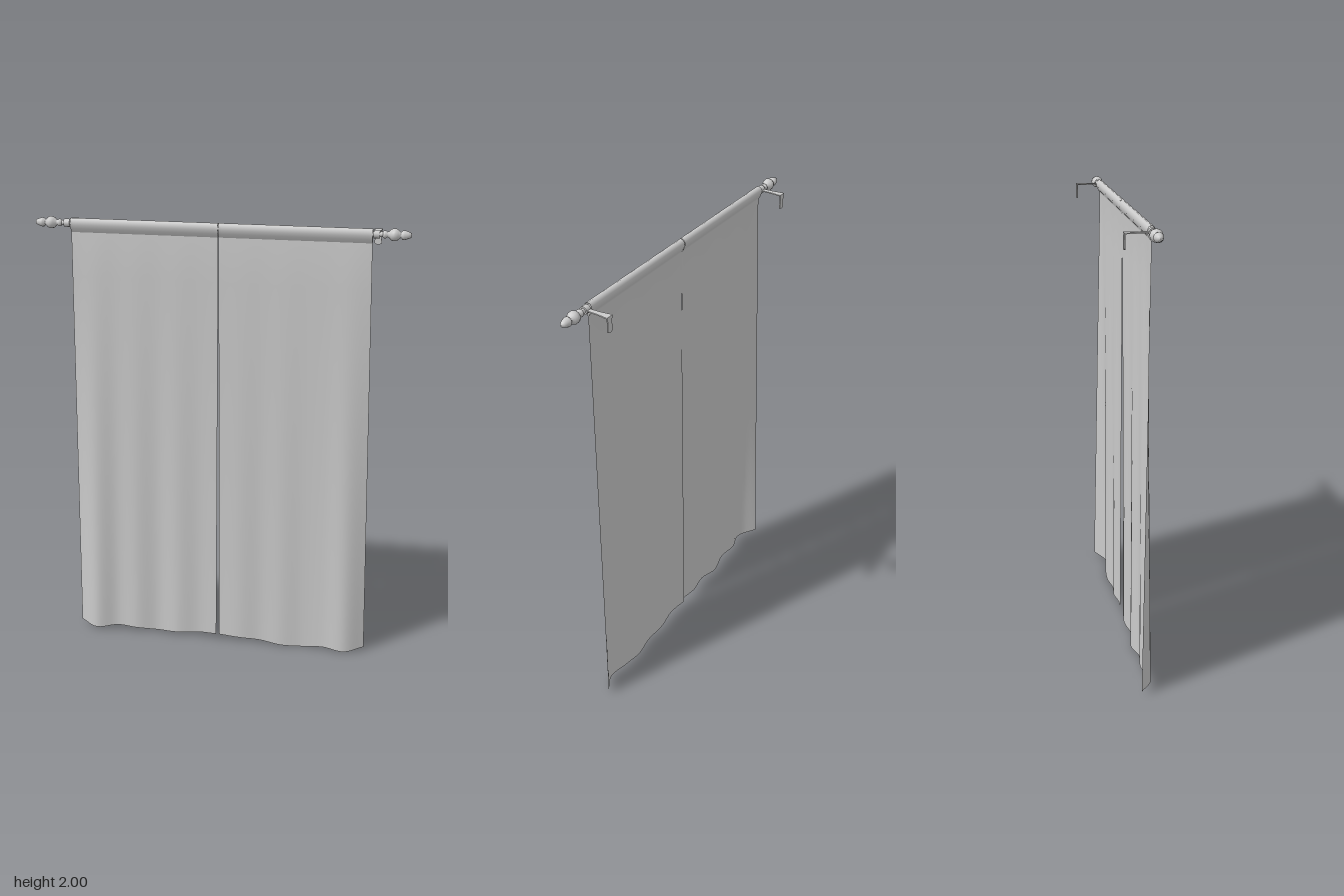
import * as THREE from 'three';

const ROD_Y = 1.974, ROD_Z = 0.04;
const metal = new THREE.MeshStandardMaterial({ color: 0xcccccc });
const cloth = new THREE.MeshStandardMaterial({ color: 0xcccccc, side: THREE.DoubleSide });

function mesh(name, geometry, material = metal) {
  const m = new THREE.Mesh(geometry, material);
  m.name = name;
  return m;
}

// Cloth panel: rod sleeve at the top, folds that deepen toward the hem.
// Each hem entry is [x, y, z].
function curtainPanel(name, hem, topA, topB) {
  const curve = new THREE.CatmullRomCurve3(hem.map(p => new THREE.Vector3(...p)));
  const sleeve = [[1.935, 0], [1.952, 0.01], [1.968, 0.016], [1.982, 0.016], [1.992, 0.01], [1.996, 0],
    [1.992, -0.01], [1.982, -0.016], [1.968, -0.016], [1.952, -0.01], [1.935, 0]];
  const cols = 42, drop = 10, rows = sleeve.length - 1 + drop;
  const geo = new THREE.PlaneGeometry(1, 1, cols, rows);
  const pos = geo.attributes.position;
  for (let j = 0; j <= rows; j++) {
    for (let i = 0; i <= cols; i++) {
      const u = i / cols, h = curve.getPoint(u);
      const x = THREE.MathUtils.lerp(topA, topB, u);
      const k = j * (cols + 1) + i;
      if (j < sleeve.length) {
        pos.setXYZ(k, x, sleeve[j][0], ROD_Z + sleeve[j][1]);
      } else {
        const t = (j - sleeve.length + 1) / drop;
        pos.setXYZ(k, THREE.MathUtils.lerp(x, h.x, t), THREE.MathUtils.lerp(1.935, h.y, t),
          THREE.MathUtils.lerp(ROD_Z, h.z, t));
      }
    }
  }
  geo.computeVertexNormals();
  return mesh(name, geo, cloth);
}

// Turned finial, profile listed as [radius, distance along the rod]
function finial(side) {
  const profile = [[0.011, 0], [0.011, 0.685], [0.016, 0.69], [0.016, 0.698], [0.011, 0.703], [0.013, 0.71],
    [0.023, 0.719], [0.026, 0.73], [0.026, 0.738], [0.021, 0.748], [0.013, 0.756], [0.013, 0.76],
    [0.019, 0.766], [0.02, 0.774], [0.015, 0.788], [0.01, 0.8], [0, 0.803]]
    .slice(1).map(([r, y]) => new THREE.Vector2(r, y));
  const geo = new THREE.LatheGeometry(profile, 12);
  geo.rotateZ(-Math.PI / 2);
  const m = mesh('finial', geo);
  m.position.set(0, ROD_Y, ROD_Z);
  if (side < 0) m.rotation.y = Math.PI;
  return m;
}

// Bent strip bracket: flared arm, hanging wall plate and a cradle for the rod
function bracket(side) {
  const g = new THREE.Group();
  g.name = 'bracket';
  const depth = 0.005;
  const options = { depth, bevelEnabled: false, curveSegments: 6 };

  const arm = new THREE.Shape([[-0.01, -0.025], [0.01, -0.025], [0.011, 0.02], [0.017, 0.067], [-0.017, 0.067],
    [-0.011, 0.02]].map(p => new THREE.Vector2(...p)));
  const armGeo = new THREE.ExtrudeGeometry(arm, options);
  armGeo.rotateX(-Math.PI / 2);
  armGeo.translate(0, 1.972, 0);
  g.add(mesh('bracketArm', armGeo));

  const plate = new THREE.Shape();
  plate.moveTo(-0.017, 1.977);
  plate.lineTo(-0.012, 1.95);
  plate.lineTo(-0.016, 1.917);
  plate.quadraticCurveTo(0, 1.903, 0.016, 1.917);
  plate.lineTo(0.012, 1.95);
  plate.lineTo(0.017, 1.977);
  const plateMesh = mesh('wallPlate', new THREE.ExtrudeGeometry(plate, options));
  plateMesh.position.z = -0.07;
  g.add(plateMesh);

  const cradleGeo = new THREE.CylinderGeometry(0.017, 0.017, 0.026, 14);
  cradleGeo.rotateZ(Math.PI / 2);
  const cradle = mesh('rodCradle', cradleGeo);
  cradle.position.set(0, ROD_Y, ROD_Z);
  g.add(cradle);

  g.position.x = side * 0.661;
  return g;
}

export function createModel() {
  const model = new THREE.Group();
  model.name = 'curtain';

  const rodGeo = new THREE.CylinderGeometry(0.011, 0.011, 1.38, 12);
  rodGeo.rotateZ(Math.PI / 2);
  const rod = mesh('rod', rodGeo);
  rod.position.set(0, ROD_Y, ROD_Z);
  model.add(rod);

  for (const side of [-1, 1]) model.add(finial(side), bracket(side));

  model.add(curtainPanel('rightPanel', [[-0.69, 0.019, 0.01], [-0.6, 0.014, 0.066], [-0.5, 0.022, 0.04],
    [-0.4, 0.022, 0.05], [-0.3, 0.012, 0.032], [-0.2, 0.02, 0.05], [-0.1, 0.024, 0.036], [-0.011, 0.029, 0.046]],
  -0.645, -0.001));
  model.add(curtainPanel('leftPanel', [[0, 0.022, 0.034], [0.1, 0.022, 0.046], [0.2, 0.014, 0.036],
    [0.3, 0.004, 0.046], [0.4, 0.001, 0.034], [0.5, 0.012, 0.04], [0.6, 0.008, 0.058], [0.69, 0.018, 0.01]],
  0.001, 0.645));
  return model;
}
